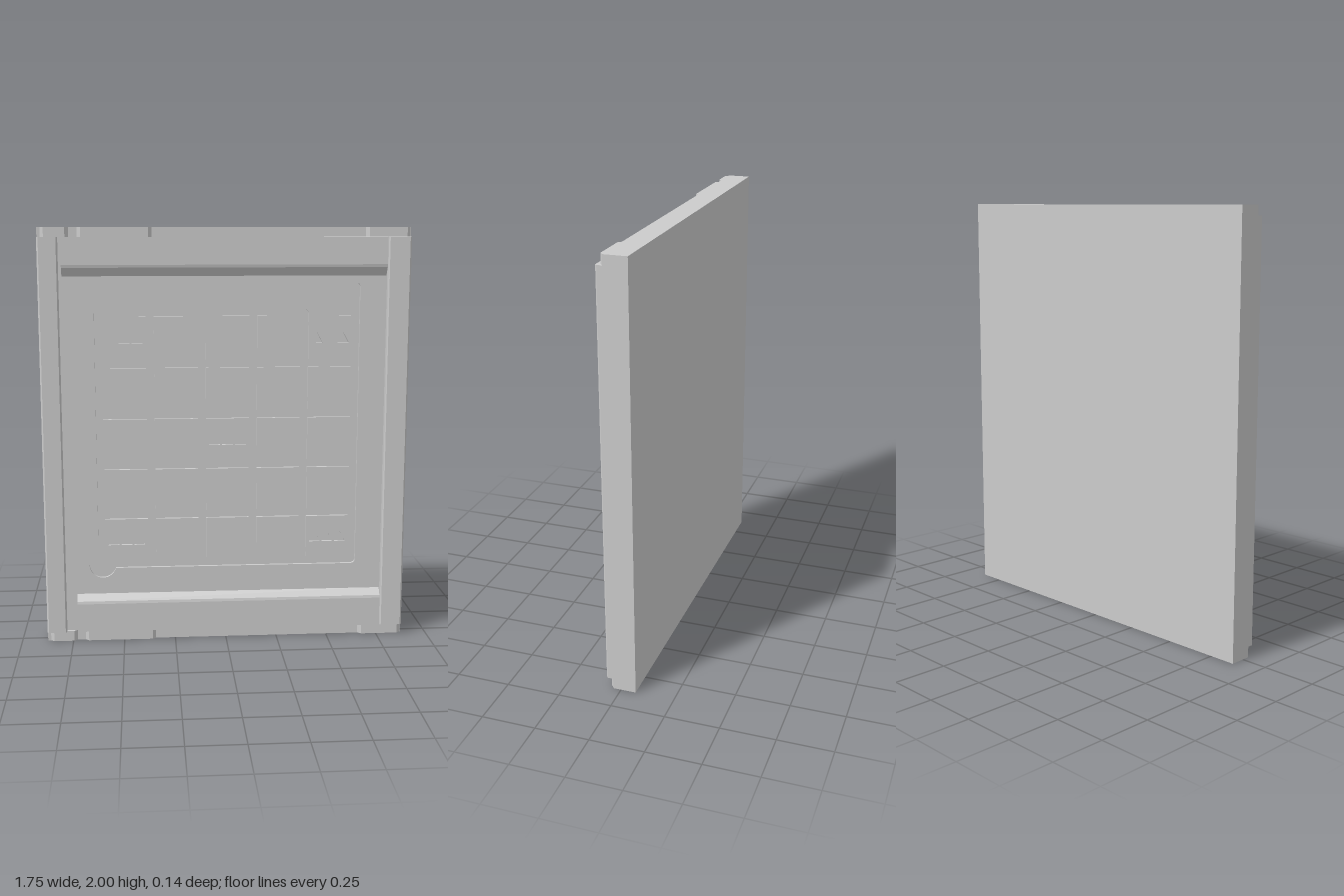
import * as THREE from 'three';

const BACK = -0.07, FLOOR = 0.022, FIELD = 0.037, FRONT = 0.07;
const PITCH = 0.245, TILE = 0.207, X0 = -0.585, Y0 = 0.4;
const KNOB = { x: -0.6, y: 0.38, r: 0.065 };

export function createModel() {
  const group = new THREE.Group();
  const material = new THREE.MeshStandardMaterial({ color: 0xcccccc, flatShading: true });
  const add = (name, geometry) => {
    const mesh = new THREE.Mesh(geometry, material);
    mesh.name = name;
    group.add(mesh);
    return mesh;
  };
  const polygon = (points) => new THREE.Shape(points.map(([x, y]) => new THREE.Vector2(x, y)));
  const extrude = (shape, depth) =>
    new THREE.ExtrudeGeometry(shape, { depth, bevelEnabled: false, curveSegments: 16 });

  // Profile of (x, z) points, extruded upwards from y0 to y1
  const upright = (name, points, y0, y1) => add(name,
    extrude(polygon(points.map(([x, z]) => [x, -z])), y1 - y0).rotateX(-Math.PI / 2).translate(0, y0, 0));
  // Profile of (y, z) points, extruded across from x0 to x1
  const crossbar = (name, points, x0, x1) => add(name,
    extrude(polygon(points.map(([y, z]) => [-z, y])), x1 - x0).rotateY(Math.PI / 2).translate(x0, 0, 0));

  // Triangular pits cut into a tile whose lower left corner is (x, y)
  const cutTriangles = (shape, x, y, offsets) => offsets.forEach((o) => {
    const cx = x + TILE / 2 + o, by = y + 0.078;
    shape.holes.push(polygon([[cx - 0.027, by], [cx + 0.027, by], [cx, by + 0.05]]));
  });

  // Backing slab
  const thickness = FLOOR - BACK;
  add('slab', new THREE.BoxGeometry(1.75, 2, thickness).translate(0, 1, BACK + thickness / 2));

  // Front sheet with the sunken tray; the top right tile stays joined to it
  const sheet = polygon([[-0.875, 0], [0.875, 0], [0.875, 2], [-0.875, 2]]);
  const left = -0.62, right = 0.64, bottom = 0.363, top = 1.62, c = 0.025;
  const lastX = X0 + 4 * PITCH, lastY = Y0 + 4 * PITCH, lastR = lastX + TILE;
  const startAngle = Math.asin((bottom - KNOB.y) / KNOB.r);
  const endAngle = Math.acos((left - KNOB.x) / KNOB.r);
  const tray = new THREE.Path();
  tray.moveTo(KNOB.x + KNOB.r * Math.cos(startAngle), bottom);
  tray.lineTo(right - c, bottom);
  tray.quadraticCurveTo(right, bottom, right, bottom + c);
  tray.lineTo(right, 1.722);
  tray.absarc(0.621, 1.722, 0.019, 0, Math.PI, false);
  tray.lineTo(0.602, top);
  tray.lineTo(0.54, top);
  tray.lineTo(0.54, lastY + TILE);
  tray.lineTo(lastR, lastY + TILE);
  tray.lineTo(lastR, lastY);
  tray.lineTo(lastX, lastY);
  tray.lineTo(lastX, top - c);
  tray.quadraticCurveTo(lastX, top, lastX - c, top);
  tray.lineTo(left + c, top);
  tray.quadraticCurveTo(left, top, left, top - c);
  tray.lineTo(left, KNOB.y + KNOB.r * Math.sin(endAngle));
  tray.absarc(KNOB.x, KNOB.y, KNOB.r, endAngle, Math.PI * 2 + startAngle, false);
  sheet.holes.push(tray);
  cutTriangles(sheet, lastX, lastY, [-0.063, 0.063]);
  add('frontSheet', extrude(sheet, FIELD - FLOOR).translate(0, 0, FLOOR));

  // Raised tiles
  const marked = ['0,0', '4,0', '2,2', '0,4'];
  for (let row = 0; row < 5; row++) {
    for (let col = 0; col < 5; col++) {
      if (row === 4 && col === 4) continue;
      const x = X0 + col * PITCH, y = Y0 + row * PITCH;
      const tile = new THREE.Shape();
      if (row === 0 && col === 0) {
        // Corner tile, rounded out by the circular recess
        const a = Math.acos((x - KNOB.x) / KNOB.r), b = Math.asin((y - KNOB.y) / KNOB.r);
        tile.absarc(KNOB.x, KNOB.y, KNOB.r, a, b, true);
      } else {
        tile.moveTo(x, y);
      }
      tile.lineTo(x + TILE, y);
      tile.lineTo(x + TILE, y + TILE);
      tile.lineTo(x, y + TILE);
      tile.closePath();
      if (marked.includes(`${col},${row}`)) cutTriangles(tile, x, y, [-0.062, 0, 0.062]);
      add('tile', extrude(tile, FIELD - FLOOR).translate(0, 0, FLOOR));
    }
  }

  // Side stiles with eased front edges
  upright('leftStile', [[0.875, FIELD], [0.875, 0.062], [0.867, FRONT], [0.772, FRONT],
    [0.766, 0.064], [0.766, FIELD]], 0.05, 1.955);
  upright('rightStile', [[-0.875, FIELD], [-0.875, 0.062], [-0.867, FRONT], [-0.786, FRONT],
    [-0.78, 0.064], [-0.78, FIELD]], 0.05, 1.955);

  // Sloped rails
  crossbar('topRail', [[1.955, FIELD], [1.955, 0.066], [1.828, 0.066], [1.815, 0.063], [1.775, FIELD]], -0.765, 0.763);
  crossbar('bottomRail', [[0.05, FIELD], [0.05, 0.066], [0.19, 0.066], [0.203, 0.063], [0.235, FIELD]], -0.727, 0.763);

  // Edge pads along the top and bottom, mirrored
  const pads = [[-0.86, -0.73], [-0.69, -0.345], [0.66, 0.872]];
  for (const [x0, x1] of pads) {
    const profile = [[x0, FIELD], [x0 + 0.016, 0.051], [x1 - 0.016, 0.051], [x1, FIELD]];
    upright('topPad', profile, 1.955, 2);
    upright('bottomPad', profile, 0, 0.05);
  }
  return group;
}
